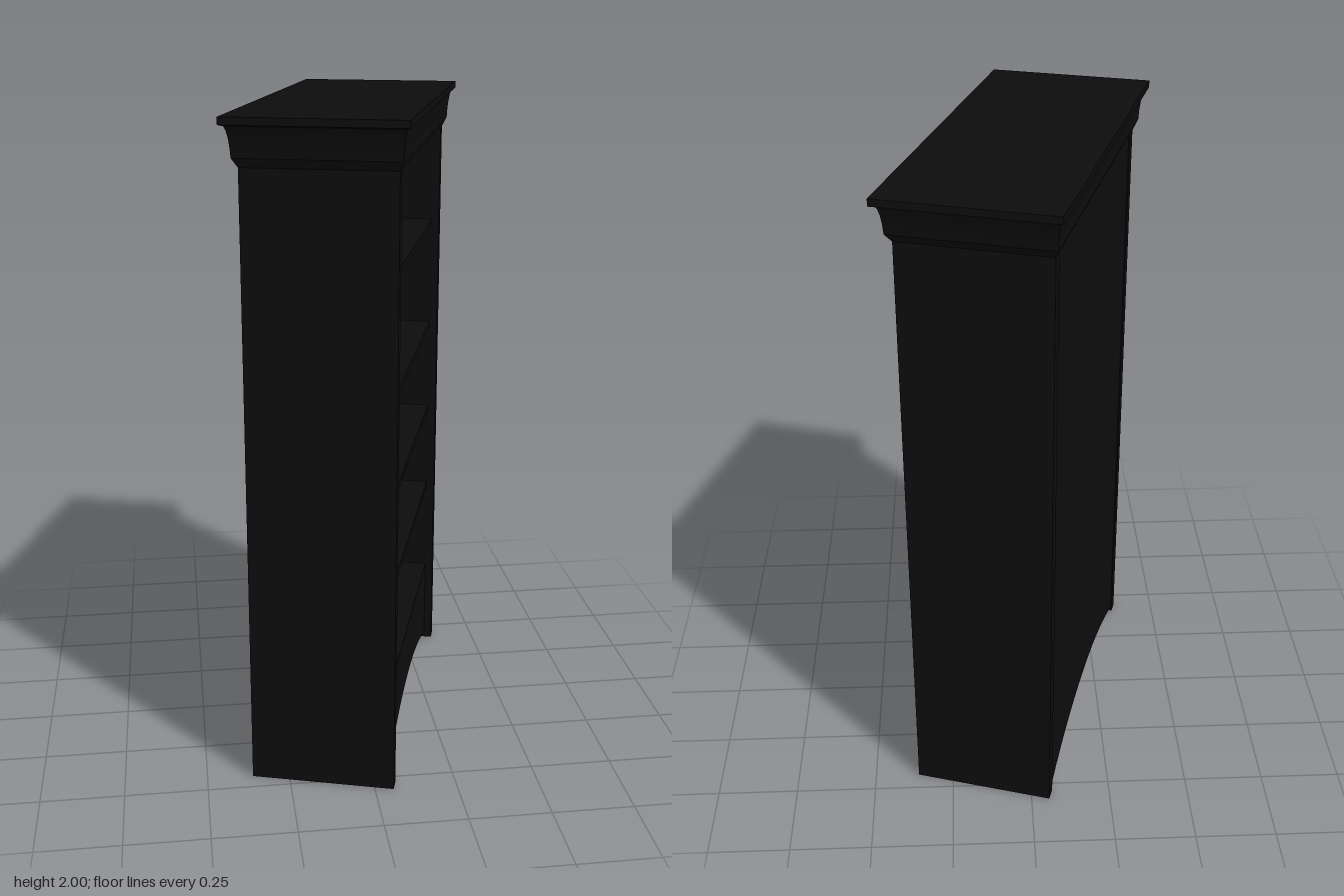
import * as THREE from 'three';

const W = 1.055, D = 0.436;        // carcass width and depth
const SIDE = 0.04;                 // side panel thickness
const INNER = W / 2 - SIDE;        // half width of the opening
const BODY_TOP = 1.87;
const RECESS = 0.025;              // shelves sit back from the side edges

const material = new THREE.MeshStandardMaterial({ color: 0x0d0d0d });

function add(parent, name, geometry, x = 0, y = 0, z = 0) {
  const mesh = new THREE.Mesh(geometry, material);
  mesh.name = name;
  mesh.position.set(x, y, z);
  parent.add(mesh);
  return mesh;
}

// Upright board with a shallow arch cut in its lower edge
function archedBoard(top, thickness) {
  const spring = 0.015, rise = 0.092;
  const radius = (INNER * INNER + rise * rise) / (2 * rise);
  const cy = spring + rise - radius;
  const half = Math.asin(INNER / radius);
  const shape = new THREE.Shape();
  shape.moveTo(INNER, spring);
  shape.lineTo(INNER, top);
  shape.lineTo(-INNER, top);
  shape.lineTo(-INNER, spring);
  shape.absarc(0, cy, radius, Math.PI / 2 + half, Math.PI / 2 - half, true);
  return new THREE.ExtrudeGeometry(shape, { depth: thickness, bevelEnabled: false, curveSegments: 14 });
}

// Moulding swept round a rectangle: profile entries are [overhang fraction, height]
function crownGeometry() {
  const overX = 0.073, overZ = 0.035;
  const profile = [[-1, 1.86], [0, 1.86], [0.36, 1.888], [0.4, 1.915], [0.47, 1.94],
    [0.58, 1.962], [0.7, 1.974], [1, 1.979], [1, 2], [-1, 2]];
  const points = profile.map(([t, y]) => new THREE.Vector2((1 + t) * Math.SQRT2, y));
  const geometry = new THREE.LatheGeometry(points, 4, Math.PI / 4).toNonIndexed();
  const p = geometry.attributes.position;
  // Stretch the square rings to the carcass plan plus their overhang
  const place = (v, half, over) =>
    Math.abs(v) < 1e-6 ? 0 : Math.sign(v) * (half + over * (Math.abs(v) - 1));
  for (let i = 0; i < p.count; i++) {
    p.setX(i, place(p.getX(i), W / 2, overX));
    p.setZ(i, place(p.getZ(i), D / 2, overZ));
  }
  geometry.computeVertexNormals();
  return geometry;
}

export function createModel() {
  const model = new THREE.Group();
  model.name = 'bookcase';

  // Side panels
  for (const s of [1, -1]) {
    add(model, s > 0 ? 'leftSide' : 'rightSide',
      new THREE.BoxGeometry(SIDE, BODY_TOP, D), s * (W / 2 - SIDE / 2), BODY_TOP / 2, 0);
  }

  // Back panel and front apron share the arched foot
  const backT = 0.02, backZ = -D / 2 + 0.004;
  add(model, 'backPanel', archedBoard(BODY_TOP, backT), 0, 0, backZ);
  const apronT = 0.025, frontZ = D / 2 - RECESS;
  add(model, 'apron', archedBoard(0.295, apronT), 0, 0, frontZ - apronT);

  // Shelves, given by the height of their top face and their thickness
  const z0 = backZ + backT;
  const addShelf = (name, top, t, z1) => add(model, name,
    new THREE.BoxGeometry(INNER * 2, t, z1 - z0), 0, top - t / 2, (z0 + z1) / 2);
  addShelf('bottomShelf', 0.295, 0.045, frontZ - apronT);
  [0.613, 0.9, 1.202, 1.556].forEach((top, i) => addShelf(`shelf${i + 1}`, top, 0.02, frontZ));

  // Crown moulding with flat top
  add(model, 'crown', crownGeometry());

  // The case stands turned toward its left
  model.rotation.y = THREE.MathUtils.degToRad(73.2);
  model.updateMatrixWorld(true);
  const root = new THREE.Group();
  root.add(model);
  return root;
}
